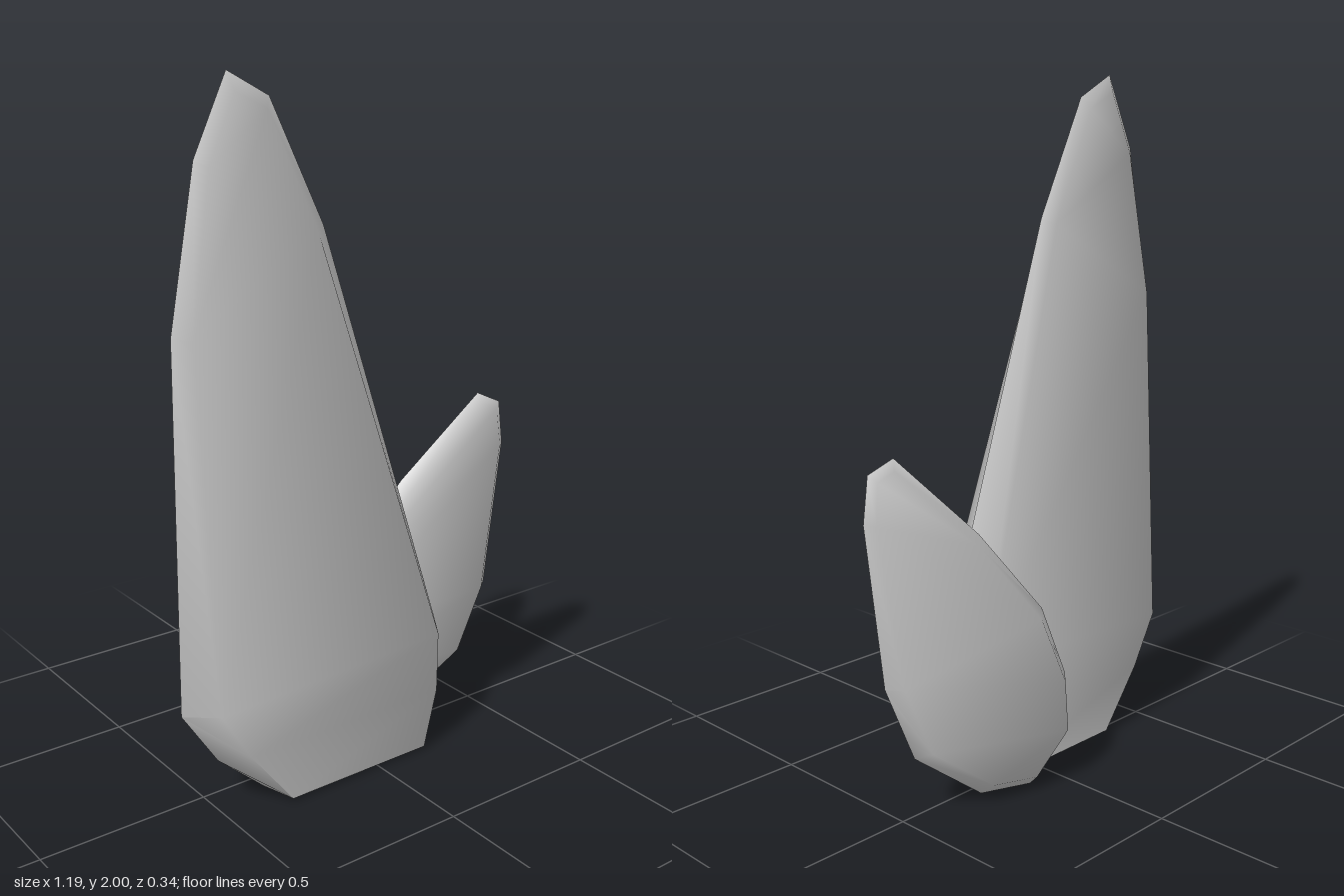
import * as THREE from 'three';
import { toCreasedNormals } from 'three/addons/utils/BufferGeometryUtils.js';

// Bevelled slab. Each row: rim x, rim y, face x, face y, half thickness.
// Rows run counter-clockwise from the bottom left, eleven in all.
function slabGeometry(rows) {
  const n = rows.length;
  const pos = [];
  const index = [];
  rows.forEach(([x, y]) => pos.push(x, y, 0));
  rows.forEach(([, , x, y, h]) => pos.push(x, y, h));
  rows.forEach(([, , x, y, h]) => pos.push(x, y, -h));

  const quad = (a, b, c, d) => index.push(a, b, c, a, c, d);

  // Bevels between the rim and the two faces
  for (let i = 0; i < n; i++) {
    const j = (i + 1) % n;
    quad(i, j, n + j, n + i);
    quad(j, i, 2 * n + i, 2 * n + j);
  }

  // Broad faces, as strips running from the base to the tip
  const half = (n - 1) / 2;
  for (let k = 0; k < half; k++) {
    const l0 = (n - k) % n;
    const r0 = k + 1;
    const l1 = n - k - 1;
    const r1 = k + 2;
    const f = n;
    const b = 2 * n;
    if (l1 === r1) {
      index.push(f + l0, f + r0, f + r1);
      index.push(b + r0, b + l0, b + r1);
    } else {
      quad(f + l0, f + r0, f + r1, f + l1);
      quad(b + r0, b + l0, b + l1, b + r1);
    }
  }

  const geometry = new THREE.BufferGeometry();
  geometry.setAttribute('position', new THREE.Float32BufferAttribute(pos, 3));
  geometry.setIndex(index);
  return toCreasedNormals(geometry, 1.25);
}

export function createModel() {
  const group = new THREE.Group();
  const material = new THREE.MeshStandardMaterial({ color: 0xcccccc });

  // Tall standing stone with a flat base
  const tall = new THREE.Mesh(slabGeometry([
    [-0.34, 0.015, -0.31, 0.015, 0.105],
    [0.21, 0.015, 0.17, 0.015, 0.105],
    [0.28, 0.17, 0.215, 0.19, 0.105],
    [0.29, 0.37, 0.22, 0.37, 0.102],
    [-0.12, 1.60, -0.155, 1.585, 0.028],
    [-0.285, 1.935, -0.305, 1.905, 0.022],
    [-0.41, 2.00, -0.40, 1.95, 0.022],
    [-0.51, 1.79, -0.48, 1.775, 0.024],
    [-0.59, 1.36, -0.55, 1.355, 0.042],
    [-0.60, 0.32, -0.535, 0.34, 0.102],
    [-0.49, 0.15, -0.445, 0.19, 0.105],
  ]), material);
  tall.name = 'tallStone';
  tall.position.z = 0.068;
  group.add(tall);

  // Small stone leaning outwards behind it, turned about the vertical
  const small = new THREE.Mesh(slabGeometry([
    [0.10, 0.005, 0.105, 0.045, 0.045],
    [0.265, 0.02, 0.25, 0.06, 0.048],
    [0.475, 0.18, 0.445, 0.205, 0.05],
    [0.56, 0.40, 0.525, 0.405, 0.048],
    [0.61, 0.86, 0.587, 0.86, 0.028],
    [0.595, 0.99, 0.577, 0.972, 0.02],
    [0.52, 1.025, 0.527, 0.995, 0.02],
    [0.265, 0.78, 0.287, 0.76, 0.034],
    [0.06, 0.53, 0.09, 0.515, 0.045],
    [-0.02, 0.32, 0.012, 0.315, 0.05],
    [-0.03, 0.15, 0.002, 0.165, 0.05],
  ]), material);
  small.name = 'smallStone';
  small.position.z = -0.118;
  small.rotation.y = -0.228;
  group.add(small);

  return group;
}
